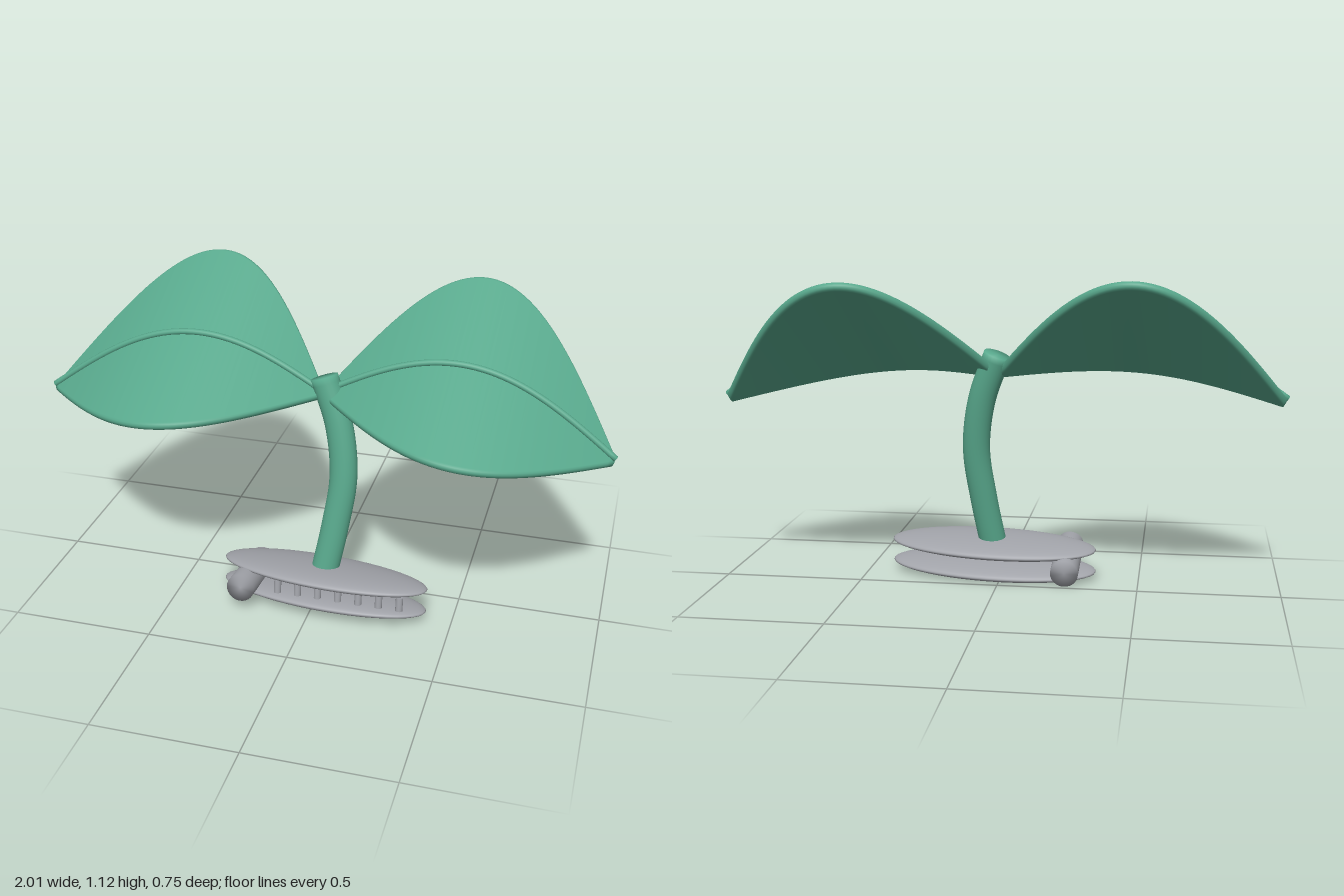
import * as THREE from 'three';
import { mergeVertices } from 'three/addons/utils/BufferGeometryUtils.js';

const TILT = 0.152; // the whole piece leans back

// Closed smooth skin over rings that run counter-clockwise about the direction of travel
function loft(rings, flip = false) {
  const n = rings[0].length, pos = [], idx = [];
  const tri = (a, b, c) => (flip ? idx.push(a, c, b) : idx.push(a, b, c));
  rings.forEach(r => r.forEach(p => pos.push(p.x, p.y, p.z)));
  for (let i = 0; i < rings.length - 1; i++) {
    for (let j = 0; j < n; j++) {
      const a = i * n + j, b = i * n + (j + 1) % n;
      tri(a, b, a + n);
      tri(b, b + n, a + n);
    }
  }
  [0, rings.length - 1].forEach((r, end) => {
    const c = pos.length / 3, mid = new THREE.Vector3();
    rings[r].forEach(p => mid.addScaledVector(p, 1 / n));
    pos.push(mid.x, mid.y, mid.z);
    for (let j = 0; j < n; j++) {
      const a = r * n + j, b = r * n + (j + 1) % n;
      if (end) tri(a, b, c); else tri(b, a, c);
    }
  });
  const g = new THREE.BufferGeometry();
  g.setAttribute('position', new THREE.Float32BufferAttribute(pos, 3));
  g.setIndex(idx);
  g.computeVertexNormals();
  return g;
}

// Solid rod along a list of points; depth narrows it from front to back
function rod(points, radius, steps, sides, depth = 1) {
  const curve = new THREE.CatmullRomCurve3(points);
  const f = curve.computeFrenetFrames(steps, false);
  const rings = [];
  for (let i = 0; i <= steps; i++) {
    const c = curve.getPointAt(i / steps), ring = [];
    for (let j = 0; j < sides; j++) {
      const a = (j / sides) * Math.PI * 2;
      const offset = new THREE.Vector3()
        .addScaledVector(f.normals[i], Math.cos(a) * radius)
        .addScaledVector(f.binormals[i], Math.sin(a) * radius);
      offset.z *= depth;
      ring.push(offset.add(c));
    }
    rings.push(ring);
  }
  return loft(rings);
}

// Arched leaf blade with straight cross-sections, plus its midrib
function leaf(side, tipX, tipY, arch, material) {
  const group = new THREE.Group();
  group.name = side > 0 ? 'leftLeaf' : 'rightLeaf';
  const across = new THREE.Vector3(0, 0.447, -0.894);
  const half = 0.015, steps = 48, baseX = 0.008, baseY = 0.769;
  const middle = t => {
    const y = baseY + (tipY - baseY) * t + arch * Math.sin(Math.PI * t);
    return new THREE.Vector3(side * (baseX + (tipX - baseX) * t), y, 0.037 - (y - 0.68) * 0.147);
  };
  const rings = [], rib = [];
  for (let i = 0; i <= steps; i++) {
    const t = i / steps, c = middle(t);
    const along = middle(t + 0.005).sub(middle(t - 0.005)).normalize();
    const up = along.cross(across).normalize().multiplyScalar(side);
    const width = 0.004 + 0.395 * Math.sin(Math.PI * t);
    const ring = [];
    for (let k = 0; k < 14; k++) {
      const back = k < 7 ? 1 : -1; // rounded back edge, then rounded front edge
      const a = -Math.PI / 2 + ((k % 7) / 6) * Math.PI + (back > 0 ? 0 : Math.PI);
      ring.push(c.clone()
        .addScaledVector(across, back * width + half * Math.cos(a))
        .addScaledVector(up, half * Math.sin(a)));
    }
    rings.push(ring);
    if (i % 4 === 0) rib.push(c.clone().addScaledVector(up, 0.019));
  }
  const blade = new THREE.Mesh(loft(rings, side < 0), material);
  blade.name = 'blade';
  const midrib = new THREE.Mesh(rod(rib, 0.011, 48, 10), material);
  midrib.name = 'midrib';
  group.add(blade, midrib);
  return group;
}

export function createModel() {
  const model = new THREE.Group();
  model.name = 'leafSproutClip';
  const green = new THREE.MeshStandardMaterial({ color: 0x58a88c });
  green.name = 'leafGreen';
  const grey = new THREE.MeshStandardMaterial({ color: 0xa0a2a8 });
  grey.name = 'metalGrey';

  // Curved stem
  const stem = new THREE.Mesh(rod([
    new THREE.Vector3(0.03, 0.12, 0.130),
    new THREE.Vector3(0.062, 0.3, 0.102),
    new THREE.Vector3(0.084, 0.49, 0.073),
    new THREE.Vector3(0.06, 0.67, 0.045),
    new THREE.Vector3(0, 0.835, 0.019),
  ], 0.049, 32, 24, 0.86), green);
  stem.name = 'stem';
  model.add(stem);

  // Two leaves, one a little lower at the tip
  model.add(leaf(1, 0.985, 0.657, 0.198, green));
  model.add(leaf(-1, 0.99, 0.683, 0.199, green));

  // Clip plates
  const plateGeometry = new THREE.SphereGeometry(1, 48, 24);
  [['upperPlate', 0.122, 0.132], ['lowerPlate', 0.040, 0.143]].forEach(([name, y, z]) => {
    const plate = new THREE.Mesh(plateGeometry, grey);
    plate.name = name;
    plate.position.set(0.032, y, z);
    plate.rotation.set(-TILT, -0.08, 0);
    plate.scale.set(0.38, 0.03, 0.133);
    model.add(plate);
  });

  // Hinge barrel, softly shaded across its ends
  let barrel = new THREE.CylinderGeometry(0.05, 0.05, 0.265, 28);
  barrel.deleteAttribute('normal');
  barrel.deleteAttribute('uv');
  barrel = mergeVertices(barrel);
  barrel.computeVertexNormals();
  const hinge = new THREE.Mesh(barrel, grey);
  hinge.name = 'hinge';
  hinge.position.set(-0.24, 0.074, 0.139);
  hinge.rotation.x = Math.PI / 2 - TILT;
  model.add(hinge);

  // Row of teeth between the plates
  const toothGeometry = new THREE.CylinderGeometry(0.013, 0.013, 0.05, 12);
  for (let i = 0; i < 7; i++) {
    const tooth = new THREE.Mesh(toothGeometry, grey);
    tooth.name = 'tooth';
    tooth.position.set(-0.115 + i * 0.0735, 0.098, 0.225);
    tooth.rotation.x = -TILT;
    model.add(tooth);
  }
  return model;
}
